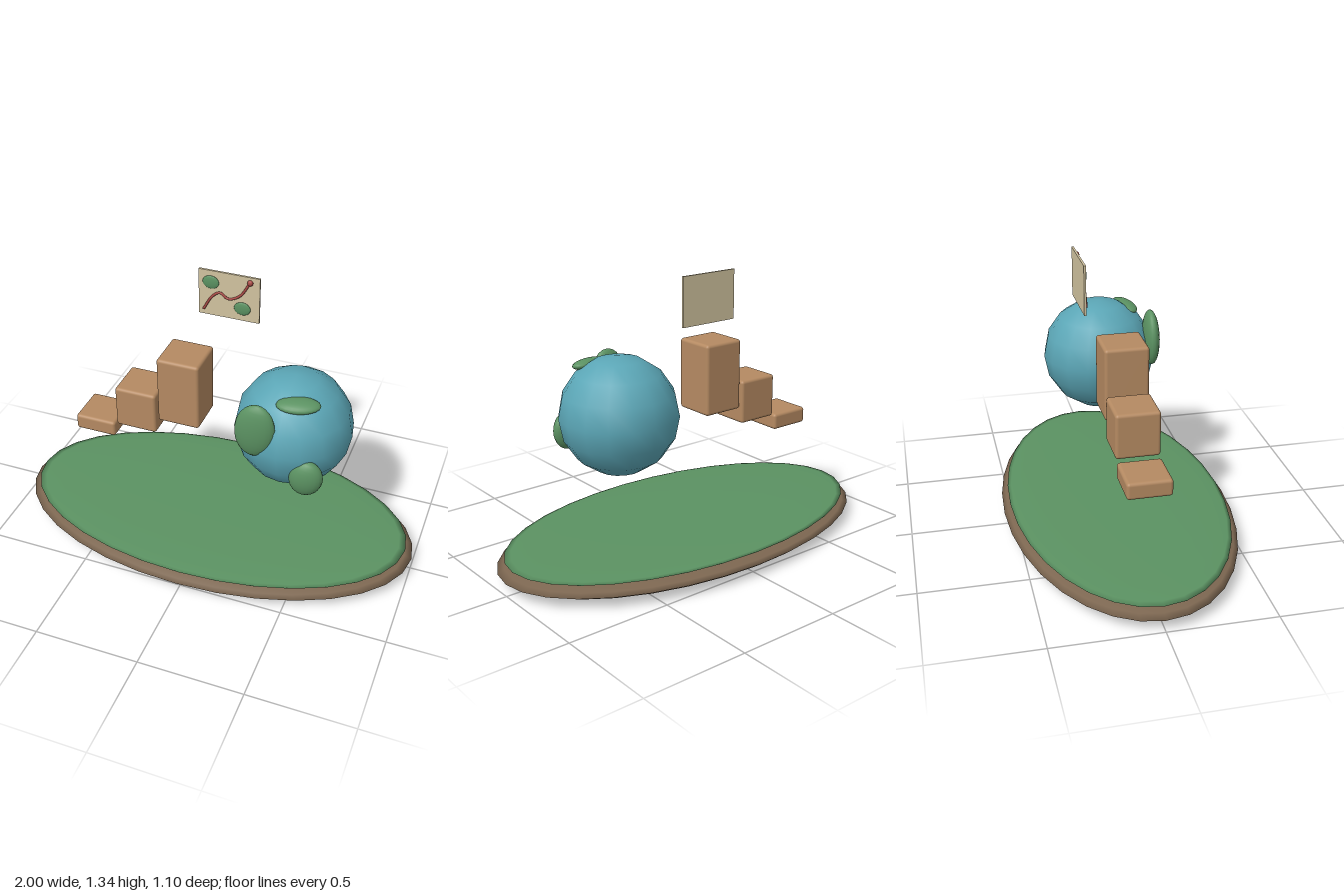
import * as THREE from 'three';
import { RoundedBoxGeometry } from 'three/addons/geometries/RoundedBoxGeometry.js';

const mat = (color) => new THREE.MeshStandardMaterial({ color });
const GREEN = mat(0x5b9262), SOIL = mat(0x7d6751), WATER = mat(0x5ba6b6);
const WOOD = mat(0xb58a62), PAPER = mat(0xd2c4a0), RED = mat(0xa84a45);

export function createModel() {
  const root = new THREE.Group();

  const add = (name, geometry, material, pos, parent = root) => {
    const mesh = new THREE.Mesh(geometry, material);
    mesh.name = name;
    mesh.position.set(...pos);
    parent.add(mesh);
    return mesh;
  };
  const ellipsoid = (name, material, pos, radii, parent = root, rot = [0, 0, 0], w = 20, h = 14) => {
    const mesh = add(name, new THREE.SphereGeometry(1, w, h), material, pos, parent);
    mesh.scale.set(...radii);
    mesh.rotation.set(...rot);
    return mesh;
  };

  // Flattened island: earth with a thin grass layer on top
  ellipsoid('islandBase', SOIL, [0, 0.058, 0], [1, 0.058, 0.55], root, [0, 0, 0], 32, 12);
  ellipsoid('grassTop', GREEN, [0, 0.105, 0], [0.965, 0.016, 0.52], root, [0, 0, 0], 32, 12);

  // Globe with raised land masses
  const globe = new THREE.Group();
  globe.name = 'globe';
  root.add(globe);
  ellipsoid('ocean', WATER, [0.38, 0.71, 0], [0.277, 0.277, 0.277], globe, [0, 0, 0], 16, 8);
  ellipsoid('largeLand', GREEN, [0.267, 0.812, 0.24], [0.094, 0.138, 0.04], globe, [0, 0, -0.1]);
  ellipsoid('lowerLand', GREEN, [0.51, 0.603, 0.23], [0.078, 0.093, 0.042], globe, [0, 0.1, -0.15]);
  ellipsoid('upperLand', GREEN, [0.435, 0.928, 0.145], [0.1, 0.026, 0.052], globe, [0.15, 0.22, 0]);

  // Three rising blocks: x centre, bottom, top
  [[-0.6, 0.47, 0.55], [-0.379, 0.55, 0.764], [-0.158, 0.632, 0.977]].forEach(([x, y0, y1], i) => {
    add(`stepBlock${i + 1}`, new RoundedBoxGeometry(0.208, y1 - y0, 0.205, 3, 0.015), WOOD, [x, (y0 + y1) / 2, 0]);
  });

  // Floating map with land patches and a winding route
  const map = new THREE.Group();
  map.name = 'map';
  root.add(map);
  add('mapSheet', new THREE.BoxGeometry(0.295, 0.23, 0.01), PAPER, [-0.003, 1.221, -0.166], map);
  ellipsoid('mapLandUpper', GREEN, [-0.09, 1.279, -0.158], [0.04, 0.033, 0.008], map);
  ellipsoid('mapLandLower', GREEN, [0.063, 1.17, -0.158], [0.04, 0.033, 0.008], map);
  const route = new THREE.CatmullRomCurve3(
    [[-0.125, 1.135], [-0.082, 1.208], [-0.045, 1.233], [-0.005, 1.209], [0.05, 1.234], [0.1, 1.312]]
      .map(([x, y]) => new THREE.Vector3(x, y, -0.156)));
  add('mapRoute', new THREE.TubeGeometry(route, 32, 0.006, 8), RED, [0, 0, 0], map);
  ellipsoid('routeMarker', RED, [0.1, 1.312, -0.154], [0.014, 0.014, 0.01], map);

  return root;
}
